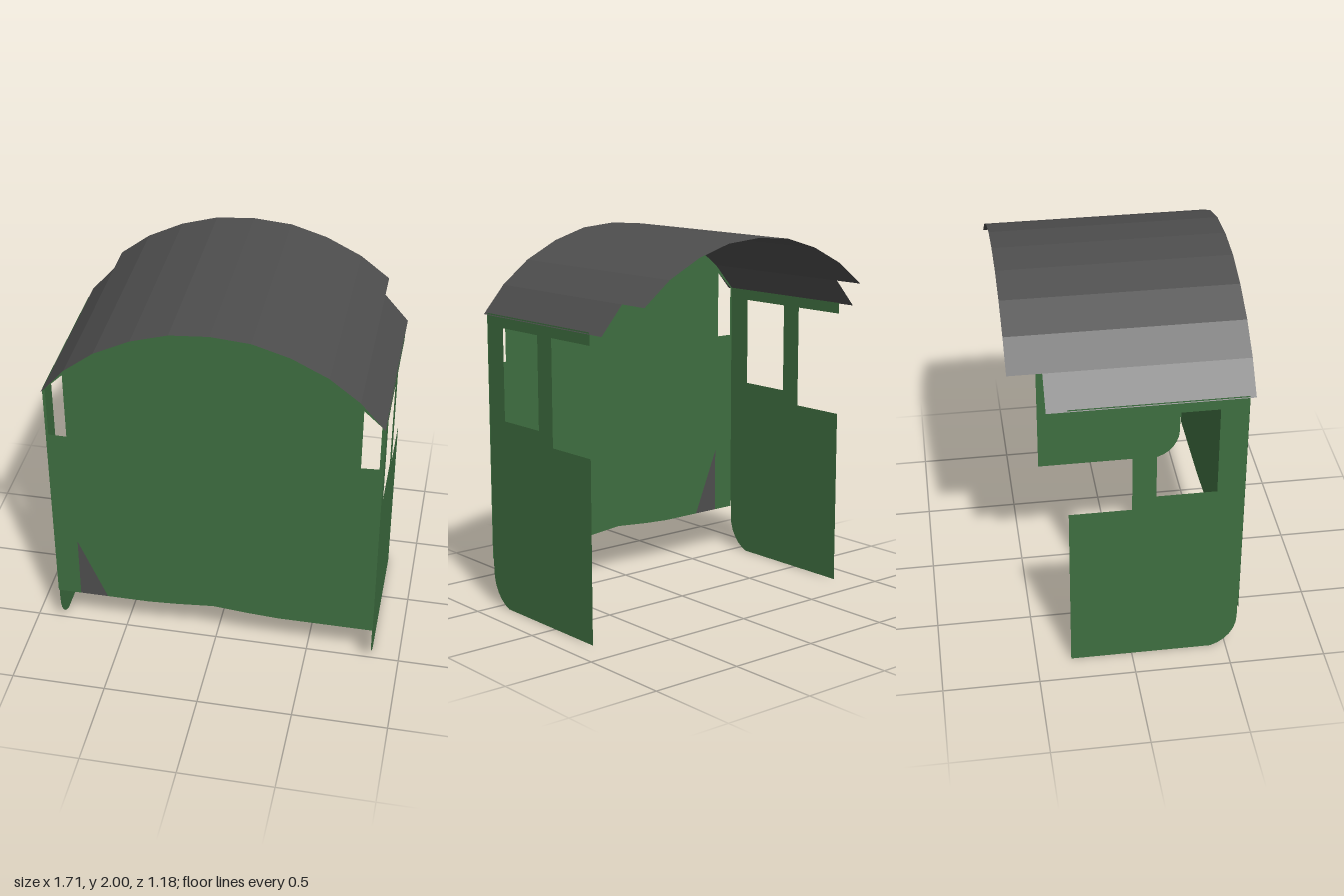
import * as THREE from 'three';

const sheet = (color) => new THREE.MeshStandardMaterial({ color, side: THREE.DoubleSide, flatShading: true });
const outline = (pts) => pts.map(([x, y]) => new THREE.Vector2(x, y));

// Half of the roof arch, from the crown to the eave
const ARCH = [[0, 2], [0.2, 1.984], [0.39, 1.927], [0.575, 1.835], [0.73, 1.715], [0.856, 1.57]];
const mirrored = ARCH.slice(1).reverse().map(([x, y]) => [-x, y]);
const FULL_ARCH = [...mirrored, ...ARCH];

function makeMesh(name, geometry, material) {
  const mesh = new THREE.Mesh(geometry, material);
  mesh.name = name;
  return mesh;
}

// Curved roof sheet; the outermost strips stop short at the back
function roofGeometry() {
  const pos = [];
  const front = 0.59;
  for (let i = 0; i < FULL_ARCH.length - 1; i++) {
    const [x0, y0] = FULL_ARCH[i];
    const [x1, y1] = FULL_ARCH[i + 1];
    const back = i === 0 || i === FULL_ARCH.length - 2 ? -0.42 : -0.59;
    pos.push(x0, y0, front, x1, y1, front, x1, y1, back);
    pos.push(x0, y0, front, x1, y1, back, x0, y0, back);
  }
  const g = new THREE.BufferGeometry();
  g.setAttribute('position', new THREE.Float32BufferAttribute(pos, 3));
  g.computeVertexNormals();
  return g;
}

// Front wall with two narrow windows, an arched top and a notch for the infill
function frontGeometry() {
  const shape = new THREE.Shape(outline([
    ...FULL_ARCH,
    [0.856, 0.25], [0.35, 0.25], [0.2, 0.259], [0, 0.277], [-0.2, 0.259], [-0.35, 0.25],
    [-0.58, 0.25], [-0.73, 0.61], [-0.73, 0.25], [-0.856, 0.25],
  ]));
  shape.holes.push(
    new THREE.Path(outline([[0.745, 1.31], [0.836, 1.315], [0.836, 1.568], [0.745, 1.652]])),
    new THREE.Path(outline([[-0.748, 1.295], [-0.748, 1.668], [-0.842, 1.575], [-0.842, 1.295]])),
  );
  return new THREE.ShapeGeometry(shape);
}

// Side wall drawn in (z, y): rounded lower corner, window and door opening
function sideGeometry() {
  const shape = new THREE.Shape();
  shape.moveTo(-0.32, 0);
  shape.lineTo(0.42, 0);
  shape.bezierCurveTo(0.5, 0.025, 0.555, 0.1, 0.555, 0.19);
  shape.lineTo(0.555, 0.285);
  for (const [z, y] of [[0.56, 0.285], [0.56, 1.58], [-0.32, 1.58], [-0.32, 1.515],
    [-0.005, 1.515], [-0.005, 0.955], [-0.32, 0.955]]) shape.lineTo(z, y);
  shape.closePath();
  shape.holes.push(new THREE.Path(outline([[0.115, 1.025], [0.42, 1.025], [0.42, 1.515], [0.115, 1.515]])));
  return new THREE.ShapeGeometry(shape, 6).rotateY(-Math.PI / 2);
}

export function createModel() {
  const group = new THREE.Group();
  group.name = 'cab';
  const green = sheet(0x3e6e40);
  const grey = sheet(0x4e4e4e);

  group.add(makeMesh('roof', roofGeometry(), grey));

  const front = makeMesh('frontWall', frontGeometry(), green);
  front.position.z = 0.56;
  group.add(front);

  // Grey triangular infill at the foot of the front wall
  const infill = makeMesh('wallInfill',
    new THREE.ShapeGeometry(new THREE.Shape(outline([[-0.73, 0.25], [-0.58, 0.25], [-0.73, 0.61]]))), grey);
  infill.position.z = 0.56;
  group.add(infill);

  for (const [name, s] of [['leftWall', 1], ['rightWall', -1]]) {
    const side = makeMesh(name, sideGeometry(), green);
    side.position.x = s * 0.853;
    group.add(side);
  }
  return group;
}
